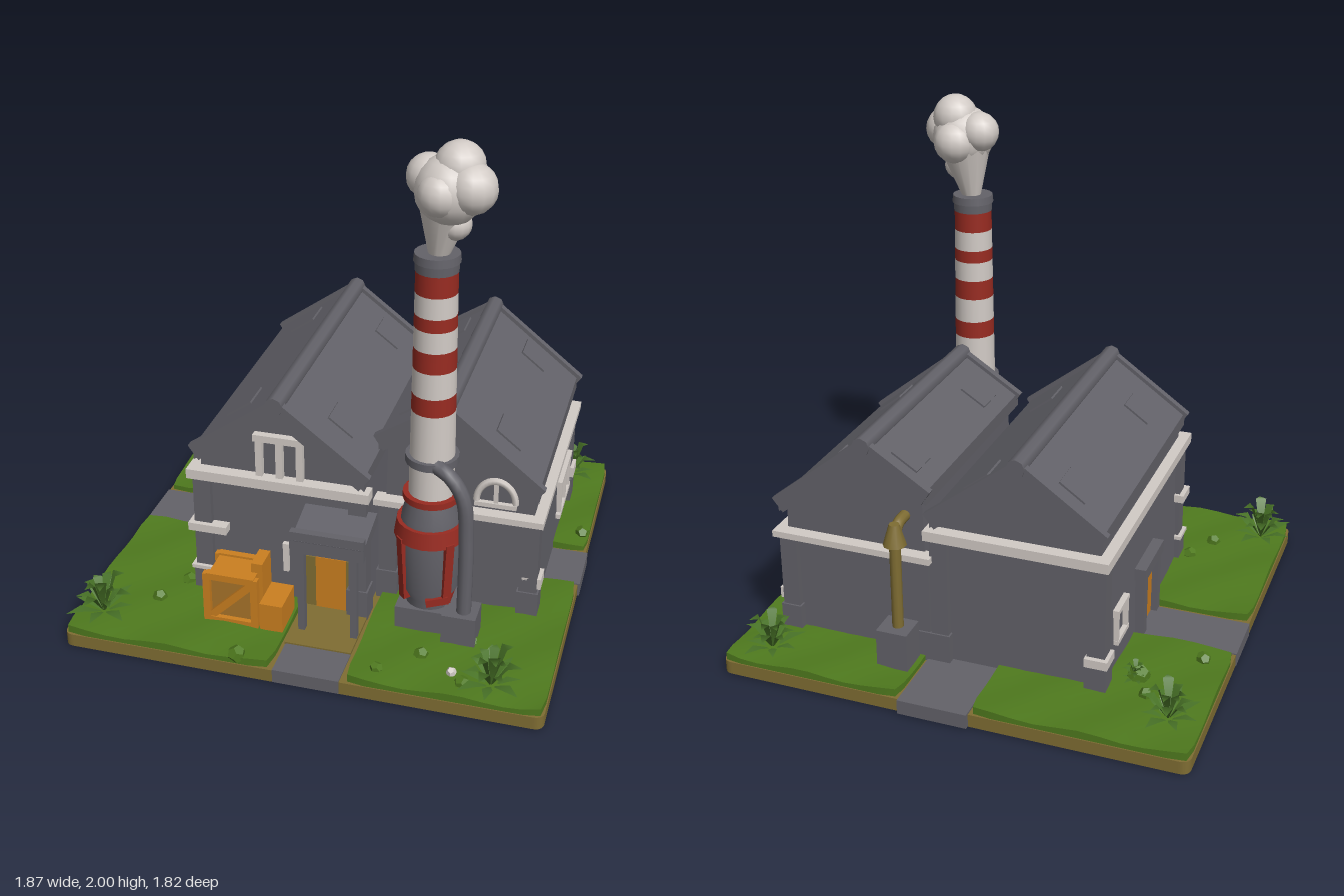
import * as THREE from 'three';

const mat = (name, color, side = THREE.FrontSide) => {
  const m = new THREE.MeshStandardMaterial({ color, side });
  m.name = name;
  return m;
};

export function createModel() {
  const model = new THREE.Group();
  model.name = 'factory';
  const M = {
    wall: mat('slateGrey', 0x636269), white: mat('trimWhite', 0xd2cbc6), red: mat('paintRed', 0x982b21),
    orange: mat('crateOrange', 0xcb7f20), panel: mat('crateBrown', 0xa8742a), tan: mat('earthTan', 0x7f6d33),
    under: mat('undersideOlive', 0x5c5747), grass: mat('grassGreen', 0x4f7a1e),
    leaf: mat('leafGreen', 0x4a7528, THREE.DoubleSide),
  };
  const V = (x, y, z) => new THREE.Vector3(x, y, z);
  const add = (name, geo, m, x = 0, y = 0, z = 0, parent = model) => {
    const mesh = new THREE.Mesh(geo, m);
    mesh.name = name;
    mesh.position.set(x, y, z);
    parent.add(mesh);
    return mesh;
  };
  // Box given by its min and max on each axis
  const box = (name, m, x0, x1, y0, y1, z0, z1) =>
    add(name, new THREE.BoxGeometry(x1 - x0, y1 - y0, z1 - z0), m, (x0 + x1) / 2, (y0 + y1) / 2, (z0 + z1) / 2);
  const cyl = (name, m, x, z, y0, y1, rBottom, rTop = rBottom, n = 20) =>
    add(name, new THREE.CylinderGeometry(rTop, rBottom, y1 - y0, n), m, x, (y0 + y1) / 2, z);
  const pipe = (name, m, points, r) =>
    add(name, new THREE.TubeGeometry(new THREE.CatmullRomCurve3(points, false, 'centripetal'), 24, r, 10), m);
  // Bar between two points
  const bar = (name, m, a, b, w, d = w) => {
    const mesh = add(name, new THREE.BoxGeometry(w, d, a.distanceTo(b)), m);
    mesh.position.copy(a).lerp(b, 0.5);
    mesh.lookAt(b);
    return mesh;
  };
  // Polygon in x, y extruded from z0 to z1
  const prism = (name, m, pts, z0, z1) => add(name, new THREE.ExtrudeGeometry(
    new THREE.Shape(pts.map(p => new THREE.Vector2(...p))), { depth: z1 - z0, bevelEnabled: false }), m, 0, 0, z0);

  // Ground: earth slab with rounded corners, olive underside, grass quarters, sunken paths
  const slab = new THREE.Shape();
  const X0 = -0.912, X1 = 0.932, Z0 = -0.882, Z1 = 0.902, R = 0.04;
  slab.moveTo(X0 + R, Z0).lineTo(X1 - R, Z0).quadraticCurveTo(X1, Z0, X1, Z0 + R).lineTo(X1, Z1 - R)
    .quadraticCurveTo(X1, Z1, X1 - R, Z1).lineTo(X0 + R, Z1).quadraticCurveTo(X0, Z1, X0, Z1 - R)
    .lineTo(X0, Z0 + R).quadraticCurveTo(X0, Z0, X0 + R, Z0);
  add('earthSlab', new THREE.ExtrudeGeometry(slab, { depth: 0.052, bevelEnabled: false }), M.tan, 0, 0.003).rotation.x = -Math.PI / 2;
  box('underside', M.under, -0.89, 0.91, 0, 0.006, -0.88, 0.86);
  for (const [x0, x1, z0, z1] of [[-0.908, -0.09, -0.898, -0.2], [0.2, 0.928, -0.898, -0.2],
    [-0.908, -0.09, 0.055, 0.878], [0.2, 0.928, 0.055, 0.878]]) {
    const g = new THREE.BoxGeometry(x1 - x0, 0.03, z1 - z0, 10, 1, 10);
    const p = g.attributes.position;
    for (let i = 0; i < p.count; i++) {
      const x = p.getX(i), z = p.getZ(i);
      if (p.getY(i) > 0) p.setY(i, 0.014 + 0.008 * Math.sin(x * 17 + x0 * 5) * Math.cos(z * 14 + z0));
      // Pull the corners in to follow the slab
      if (Math.abs(x) > (x1 - x0) / 2 - 0.01 && Math.abs(z) > (z1 - z0) / 2 - 0.01) p.setXYZ(i, x * 0.975, p.getY(i), z * 0.975);
    }
    g.computeVertexNormals();
    add('grass', g, M.grass, (x0 + x1) / 2, 0.066, (z0 + z1) / 2);
  }
  box('backPath', M.wall, -0.085, 0.19, 0.005, 0.063, -0.92, -0.6);
  box('frontPath', M.wall, -0.075, 0.18, 0.005, 0.06, 0.72, 0.885);
  box('porchFloor', M.tan, -0.08, 0.18, 0.02, 0.066, 0.45, 0.72);
  box('rightPath', M.wall, -0.915, -0.48, 0.005, 0.06, -0.19, 0.04);
  box('leftPath', M.wall, 0.78, 0.94, 0.005, 0.06, -0.19, 0.04);

  // Gabled halls: eave, ridge, eave outline of each roof; the trim runs along one outer side
  const hall = (name, [x0, x1], [z0, z1], [a, r, b], trimY, trimHalf, trimX) => {
    const t = 0.055, down = p => [p[0], p[1] - t];
    const at = (p, x) => p[1] + (r[1] - p[1]) * (x - p[0]) / (r[0] - p[0]) - t + 0.01;
    prism(name + 'Walls', M.wall, [[x0, 0.05], [x1, 0.05], [x1 - 0.02, at(b, x1 - 0.02)],
      [r[0], r[1] - t + 0.01], [x0 + 0.02, at(a, x0 + 0.02)]], z0 + 0.04, z1 - 0.04);
    prism(name + 'Roof', M.wall, [down(a), down(r), down(b), b, r, a], z0 + 0.01, z1 - 0.003);
    const ridge = add(name + 'RidgePole', new THREE.CylinderGeometry(0.036, 0.036, z1 - z0 + 0.01, 8), M.wall, r[0], r[1] - 0.012, (z0 + z1) / 2);
    ridge.rotation.x = Math.PI / 2;
    for (const e of [a, b]) {
      // Rake boards at both gables
      for (const z of [z0 + 0.017, z1 - 0.014])
        bar(name + 'RakeBoard', M.wall, V(e[0], e[1] - 0.025, z), V(r[0], r[1] - 0.025, z), 0.03, 0.07);
      // Raised roof patches
      const slope = Math.atan((r[1] - e[1]) / (r[0] - e[0]));
      for (const [k, f] of [[0.14, 0.45], [0.8, 0.4]])
        add(name + 'RoofPatch', new THREE.BoxGeometry(0.12, 0.012, 0.13), M.wall,
          e[0] + (r[0] - e[0]) * f, e[1] + (r[1] - e[1]) * f + 0.002, z0 + (z1 - z0) * k).rotation.z = slope;
    }
    // Trim band
    const y0 = trimY - trimHalf, y1 = trimY + trimHalf, o = 0.025;
    box(name + 'FrontTrim', M.white, x0 - o, x1 + o, y0, y1, z1 - 0.05, z1 + 0.012);
    box(name + 'BackTrim', M.white, x0 - o, x1 + o, y0, y1, z0 - 0.012, z0 + 0.05);
    box(name + 'SideTrim', M.white, trimX - o, trimX + o, y0, y1, z0, z1 - 0.02);
    // Corner posts on stone feet
    for (const x of [x0 + 0.025, x1 - 0.025]) for (const z of [z0 + 0.05, z1 - 0.05]) {
      box(name + 'CornerPost', M.wall, x - 0.035, x + 0.035, 0.05, trimY - 0.01, z - 0.035, z + 0.035);
      box(name + 'PostFoot', M.wall, x - 0.042, x + 0.042, 0.05, 0.18, z - 0.042, z + 0.042);
    }
  };
  hall('mainHall', [-0.505, 0.165], [-0.64, 0.5], [[-0.5, 0.725], [-0.175, 0.955], [0.17, 0.69]], 0.61, 0.02, -0.505);
  hall('sideHall', [0.19, 0.795], [-0.64, 0.335], [[0.18, 0.78], [0.43, 0.94], [0.797, 0.645]], 0.5, 0.013, 0.795);

  // White bands on corner posts
  box('postBand', M.white, -0.535, -0.38, 0.352, 0.385, 0.4, 0.505);
  box('postFootBand', M.white, -0.53, -0.44, 0.175, 0.19, 0.4, 0.5);
  for (const z of [0.28, -0.58]) box('postBand', M.white, 0.745, 0.82, 0.2, 0.245, z - 0.04, z + 0.04);
  box('postBand', M.white, -0.53, -0.44, 0.18, 0.215, -0.645, -0.55);

  // Attic window on the main gable
  for (const x of [-0.245, -0.165, -0.085]) box('atticFrame', M.white, x - 0.013, x + 0.013, 0.62, 0.8, 0.455, 0.485);
  box('atticFrame', M.white, -0.265, -0.07, 0.78, 0.808, 0.455, 0.49);

  // Arched window on the side gable
  add('archFrame', new THREE.TorusGeometry(0.075, 0.013, 6, 16, Math.PI), M.white, 0.63, 0.55, 0.3).scale.y = 1.2;
  box('archBar', M.white, 0.622, 0.638, 0.55, 0.64, 0.29, 0.31);
  box('archSill', M.white, 0.55, 0.71, 0.532, 0.55, 0.29, 0.315);

  // Window on the left wall
  for (const y of [0.175, 0.33]) box('sideFrame', M.white, 0.78, 0.81, y - 0.01, y + 0.01, -0.53, -0.25);
  for (const z of [-0.51, -0.4, -0.28]) box('sideFrame', M.white, 0.78, 0.808, 0.17, 0.33, z - 0.009, z + 0.009);

  // Door and window on the right wall
  box('sideDoor', M.orange, -0.515, -0.505, 0.06, 0.31, -0.15, 0.01);
  for (const z of [-0.165, 0.025]) box('sideDoorPost', M.wall, -0.54, -0.5, 0.06, 0.33, z - 0.02, z + 0.02);
  box('sideDoorLintel', M.wall, -0.545, -0.5, 0.31, 0.36, -0.2, 0.06);
  for (const y of [0.19, 0.32]) box('wallFrame', M.white, -0.52, -0.495, y - 0.009, y + 0.009, -0.47, -0.33);
  for (const z of [-0.46, -0.34]) box('wallFrame', M.white, -0.518, -0.495, 0.19, 0.32, z - 0.008, z + 0.008);

  // Porch with door, posts and awning
  box('frontDoor', M.orange, -0.03, 0.09, 0.06, 0.295, 0.46, 0.47);
  for (const x of [-0.055, 0.115]) box('doorSide', M.tan, x - 0.025, x + 0.025, 0.06, 0.29, 0.455, 0.466);
  box('doorLintel', M.white, -0.16, 0.09, 0.315, 0.338, 0.45, 0.48);
  box('doorJamb', M.white, -0.16, -0.138, 0.21, 0.33, 0.45, 0.475);
  for (const x of [-0.04, 0.165]) box('porchPost', M.wall, x - 0.013, x + 0.013, 0.06, 0.46, 0.6, 0.63);
  bar('awning', M.wall, V(0.07, 0.5, 0.45), V(0.07, 0.455, 0.645), 0.28, 0.05);
  box('awningFront', M.wall, -0.075, 0.21, 0.425, 0.515, 0.62, 0.65);

  // Braced crates with recessed front panels
  const crate = (x0, x1, y1, z0, z1) => {
    box('crate', M.orange, x0 + 0.005, x1 - 0.005, 0.07, y1 - 0.005, z0 + 0.005, z1 - 0.01);
    box('cratePanel', M.panel, x0 + 0.01, x1 - 0.01, 0.08, y1 - 0.02, z1 - 0.011, z1 - 0.006);
    for (const x of [x0, x1]) for (const z of [z0, z1]) box('crateEdge', M.orange, x - 0.014, x + 0.014, 0.07, y1, z - 0.014, z + 0.014);
    for (const y of [0.085, y1 - 0.01]) for (const z of [z0, z1]) box('crateRail', M.orange, x0, x1, y - 0.014, y + 0.014, z - 0.014, z + 0.014);
    bar('crateBrace', M.orange, V(x0, 0.085, z1), V(x1, y1 - 0.015, z1), 0.02, 0.03);
  };
  crate(-0.4, -0.21, 0.29, 0.53, 0.67);
  box('smallCrate', M.orange, -0.19, -0.1, 0.07, 0.19, 0.53, 0.68);
  box('plank', M.orange, -0.24, -0.195, 0.07, 0.325, 0.52, 0.62);

  // Striped chimney
  const cx = 0.41, cz = 0.43;
  const stripes = [0.6, 0.99, 1.06, 1.16, 1.24, 1.32, 1.37, 1.45, 1.53];
  const rad = y => 0.086 - (y - 0.6) * 0.011;
  for (let i = 0; i < 8; i++)
    cyl(i % 2 ? 'redStripe' : 'whiteStripe', i % 2 ? M.red : M.white, cx, cz, stripes[i], stripes[i + 1], rad(stripes[i]), rad(stripes[i + 1]));
  cyl('chimneyCap', M.wall, cx, cz, 1.53, 1.585, 0.078, 0.08);
  cyl('chimneyRim', M.wall, cx, cz, 1.565, 1.595, 0.084, 0.081);
  cyl('chimneyCollar', M.wall, cx, cz, 0.775, 0.805, 0.1);
  // Furnace tank with red bands and a red frame on each side
  add('tank', new THREE.LatheGeometry([[0.09, 0.06], [0.09, 0.2], [0.115, 0.25], [0.122, 0.45], [0.11, 0.55], [0.085, 0.64]]
    .map(p => new THREE.Vector2(...p)), 20), M.wall, cx, 0, cz);
  cyl('tankTopBand', M.red, cx, cz, 0.62, 0.645, 0.107);
  cyl('tankBand', M.red, cx, cz, 0.465, 0.53, 0.138, 0.128);
  for (let i = 0; i < 4; i++) {
    const a = Math.PI * (0.25 + i * 0.5), sx = Math.sin(a), sz = Math.cos(a);
    bar('tankStrut', M.red, V(cx + sx * 0.105, 0.21, cz + sz * 0.105), V(cx + sx * 0.122, 0.48, cz + sz * 0.122), 0.035);
  }
  bar('tankBrace', M.red, V(cx + 0.09, 0.23, 0.51), V(cx + 0.01, 0.215, 0.535), 0.03);
  bar('tankBrace', M.red, V(cx + 0.085, 0.22, 0.5), V(cx + 0.085, 0.22, 0.36), 0.025);
  // Flue pipe with plinth
  pipe('fluePipe', M.wall, [V(0.44, 0.79, 0.5), V(0.5, 0.77, 0.53), V(0.55, 0.69, 0.535), V(0.565, 0.5, 0.53), V(0.565, 0.1, 0.53)], 0.028);
  box('fluePlinth', M.wall, 0.49, 0.62, 0.05, 0.2, 0.46, 0.58);
  box('tankPlinth', M.wall, 0.3, 0.52, 0.05, 0.17, 0.34, 0.53);

  // Smoke plume
  cyl('smokeStem', M.white, 0.425, 0.43, 1.57, 1.78, 0.032, 0.1, 14).rotation.z = -0.12;
  for (const [x, y, z, r] of [[0.45, 1.83, 0.44, 0.125], [0.48, 1.91, 0.43, 0.09], [0.37, 1.86, 0.41, 0.08],
    [0.53, 1.85, 0.47, 0.09], [0.46, 1.82, 0.37, 0.085], [0.43, 1.83, 0.5, 0.08], [0.47, 1.71, 0.44, 0.06]])
    add('smokePuff', new THREE.SphereGeometry(r, 14, 10), M.white, x, y, z);

  // Drain pipe at the back
  box('drainBase', M.wall, 0.22, 0.345, 0.05, 0.23, -0.755, -0.64);
  cyl('drainPipe', M.tan, 0.28, -0.695, 0.2, 0.62, 0.022, 0.022, 10);
  cyl('drainHood', M.tan, 0.28, -0.695, 0.58, 0.665, 0.045, 0.02, 10);
  pipe('drainElbow', M.tan, [V(0.28, 0.62, -0.69), V(0.28, 0.65, -0.66), V(0.28, 0.655, -0.6)], 0.022);

  // Spiky ferns: low, middle and upright rings of arching diamond leaves
  const leaf = new THREE.BufferGeometry();
  leaf.setAttribute('position', new THREE.Float32BufferAttribute(
    [0, 0, 0, -0.14, 0.9, 0.55, 0.14, 0.9, 0.55, 0, 0.85, 1], 3));
  leaf.setIndex([0, 1, 2, 1, 3, 2]);
  leaf.computeVertexNormals();
  const fern = (x, z, s) => {
    const g = new THREE.Group();
    g.name = 'fern';
    g.position.set(x, 0.07, z);
    for (let i = 0; i < 21; i++) {
      const l = add('leaf', leaf, M.leaf, 0, 0, 0, g), ring = i % 3;
      const k = s * (0.9 + 0.15 * Math.sin(i * 5));
      l.rotation.y = i * 2.4;
      l.scale.set(k * 1.2, k * (0.35 + ring * 0.5), k * (1.1 - ring * 0.22));
    }
    model.add(g);
  };
  for (const [x, z, s] of [[-0.78, -0.7, 0.12], [0.78, -0.78, 0.12], [-0.81, 0.73, 0.135], [0.72, 0.77, 0.13], [-0.6, -0.5, 0.06]]) fern(x, z, s);

  // Mossy tufts and a pale stone
  for (const [x, z, r] of [[-0.61, -0.49, 0.045], [-0.81, -0.3, 0.03], [-0.56, 0.46, 0.03], [-0.63, 0.6, 0.03], [0.44, 0.68, 0.03],
    [0.6, 0.55, 0.03], [-0.22, 0.86, 0.035], [0.3, 0.8, 0.025], [0.9, -0.3, 0.03], [-0.67, -0.6, 0.03], [0.62, 0.8, 0.03]])
    add('tuft', new THREE.DodecahedronGeometry(r), M.grass, x, 0.085, z).rotation.y = x * 9;
  add('paleStone', new THREE.DodecahedronGeometry(0.02), M.white, 0.57, 0.085, 0.75);
  return model;
}
